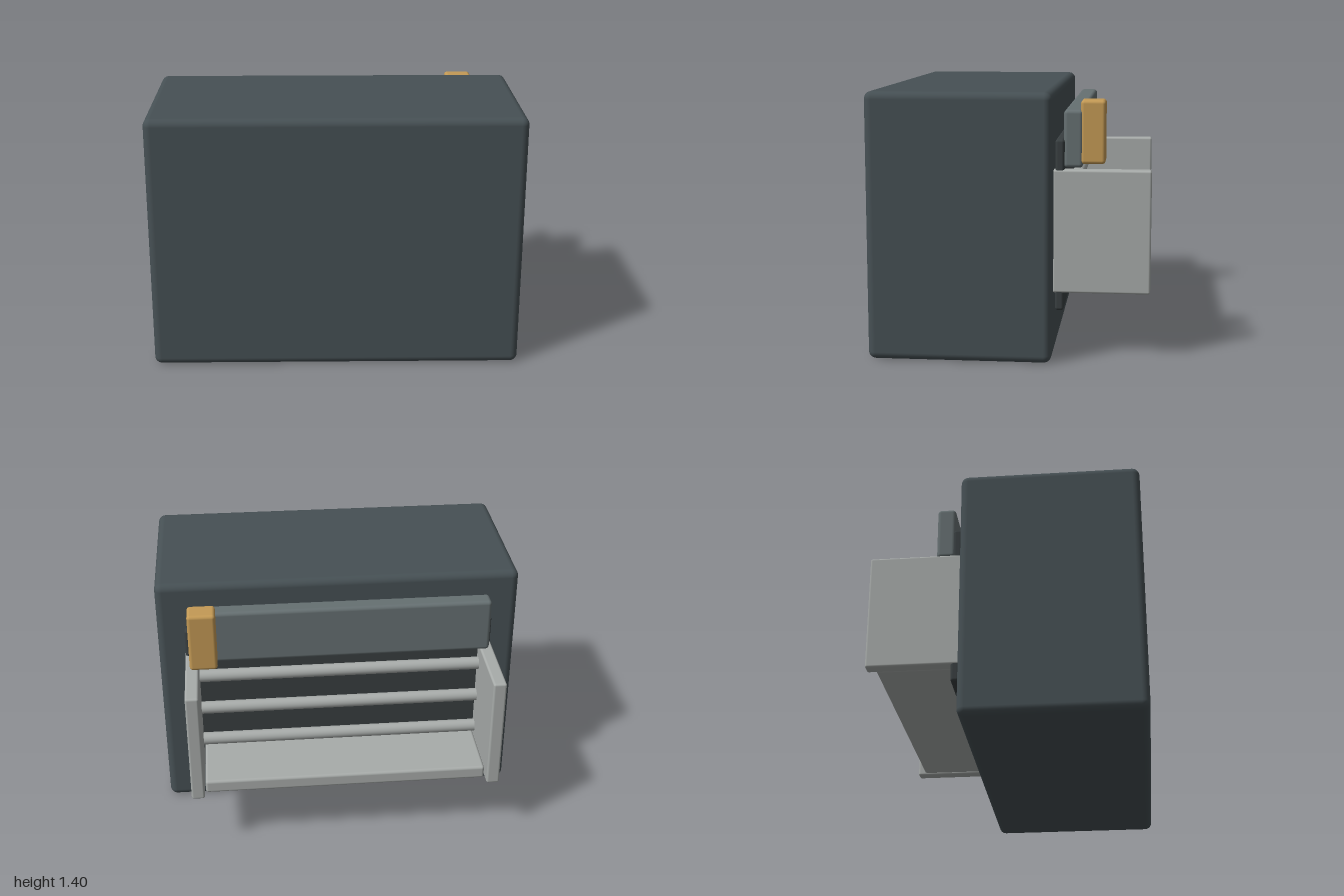
import * as THREE from 'three';
import { RoundedBoxGeometry } from 'three/addons/geometries/RoundedBoxGeometry.js';

const material = (color) => new THREE.MeshStandardMaterial({ color });

export function createModel() {
  const model = new THREE.Group();
  const slate = material(0x465054);
  const hoodGrey = material(0x667072);
  const dark = material(0x383e40);
  const metal = material(0xa8acaa);
  const amber = material(0xc49a55);

  // Rounded box given by its minimum and maximum corners
  const block = (name, mat, [x0, y0, z0], [x1, y1, z1], radius) => {
    const geometry = new RoundedBoxGeometry(x1 - x0, y1 - y0, z1 - z0, 4, radius);
    const mesh = new THREE.Mesh(geometry, mat);
    mesh.position.set((x0 + x1) / 2, (y0 + y1) / 2, (z0 + z1) / 2);
    mesh.name = name;
    model.add(mesh);
  };

  // Main housing and the dark plate on its back
  block('housing', slate, [-1, 0, -0.23], [1, 1.4, 0.73], 0.04);
  block('backPlate', dark, [-0.85, 0.25, -0.285], [0.85, 1.15, -0.238], 0.015);

  // Hood above the opening, with the handle at one end
  block('hood', hoodGrey, [-0.825, 1.0, -0.38], [0.825, 1.3, -0.28], 0.02);
  block('handle', amber, [0.675, 1.02, -0.495], [0.825, 1.35, -0.367], 0.018);

  // Tray: a shelf between two side walls
  block('shelf', metal, [-0.775, 0.35, -0.69], [0.775, 0.425, -0.25], 0.015);
  for (const side of [-1, 1]) {
    const x = side * 0.817;
    block(side > 0 ? 'leftWall' : 'rightWall', metal,
      [x - 0.036, 0.345, -0.735], [x + 0.036, 0.993, -0.225], 0.012);
  }

  // Three rollers across the opening
  const rollerGeometry = new THREE.CylinderGeometry(0.035, 0.035, 1.57, 24).rotateZ(Math.PI / 2);
  [0.46, 0.67, 0.88].forEach((y, i) => {
    const roller = new THREE.Mesh(rollerGeometry, metal);
    roller.position.set(0, y, -0.318);
    roller.name = `roller${i + 1}`;
    model.add(roller);
  });

  return model;
}
